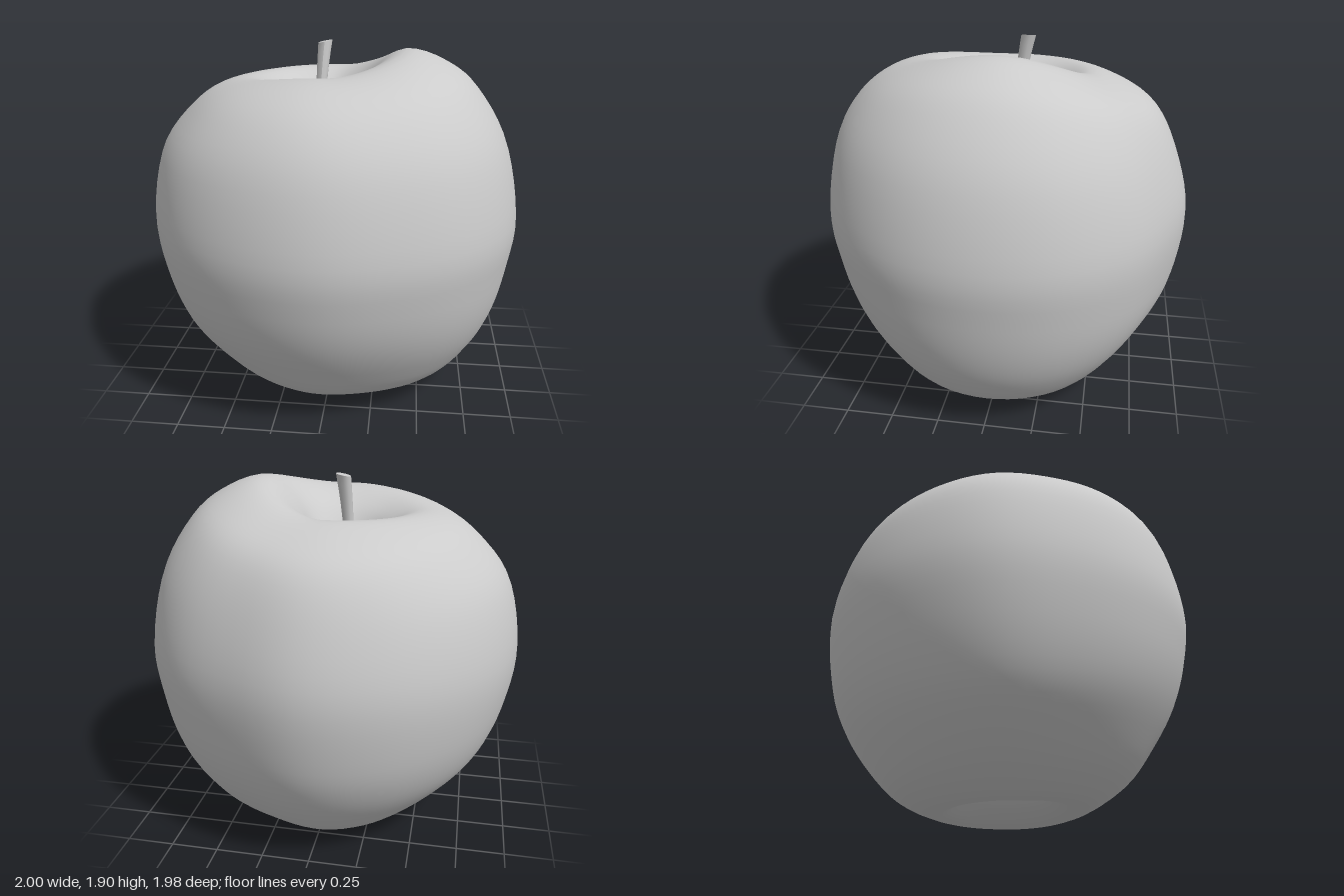
import * as THREE from 'three';
import { mergeVertices } from 'three/addons/utils/BufferGeometryUtils.js';

const COLS = 72, ROWS = 72;

// Half profiles [radius, height] from the stem hollow down to the base hollow
const hollow = [[0, 1.38], [0.06, 1.43], [0.14, 1.56]];
const base = [[0.22, 0.08], [0.1, 0.2], [0, 0.26]];
const sides = [
  // left (+x)
  [[0.25, 1.75], [0.4, 1.865], [0.6, 1.8], [0.76, 1.67], [0.92, 1.4], [1, 1.02],
    [0.975, 0.75], [0.92, 0.5], [0.83, 0.3], [0.68, 0.12], [0.42, 0.01]],
  // front (+z)
  [[0.25, 1.69], [0.42, 1.77], [0.62, 1.73], [0.8, 1.6], [0.93, 1.38], [1, 1.03],
    [0.97, 0.78], [0.9, 0.56], [0.78, 0.35], [0.63, 0.16], [0.4, 0.03]],
  // right (-x)
  [[0.25, 1.65], [0.43, 1.71], [0.61, 1.68], [0.77, 1.57], [0.93, 1.36], [1, 1.02],
    [0.965, 0.72], [0.87, 0.45], [0.73, 0.27], [0.54, 0.11], [0.33, 0.01]],
  // back (-z)
  [[0.25, 1.64], [0.42, 1.72], [0.63, 1.66], [0.8, 1.54], [0.92, 1.3], [0.99, 1.0],
    [0.955, 0.67], [0.88, 0.45], [0.75, 0.25], [0.58, 0.08], [0.37, 0]],
].map((mid) => new THREE.CatmullRomCurve3(
  [...hollow, ...mid, ...base].map(([r, y]) => new THREE.Vector3(r, y, 0)), false, 'catmullrom'));

// Slightly uneven outline seen from above, every 22.5 degrees from +x towards +z
const outline = new THREE.CatmullRomCurve3(
  [1, 0.997, 0.985, 0.973, 0.99, 0.987, 0.987, 0.98, 1, 0.985, 0.98, 0.99, 0.998, 0.965, 0.985, 1]
    .map((f, i) => new THREE.Vector3(f, i, 0)), true, 'catmullrom');

// Blends the neighbouring side profiles for an angle given in turns
function fruitPoint(turn, t) {
  const q = turn * 4, k = Math.floor(q) % 4;
  const w = THREE.MathUtils.smoothstep(q - Math.floor(q), 0, 1);
  const p = sides[k].getPoint(t).lerp(sides[(k + 1) % 4].getPoint(t), w);
  const r = Math.max(0, p.x) * outline.getPoint(turn).x;
  // The stem hollow sits a little off centre
  const shift = p.y > 1 ? 1 - THREE.MathUtils.smoothstep(r, 0, 0.6) : 0;
  const a = turn * Math.PI * 2;
  return [r * Math.cos(a) - 0.08 * shift, p.y, r * Math.sin(a) - 0.06 * shift];
}

function fruitGeometry() {
  const geo = new THREE.SphereGeometry(1, COLS, ROWS);
  const pos = geo.attributes.position;
  for (let i = 0; i < pos.count; i++) {
    const col = i % (COLS + 1), row = Math.floor(i / (COLS + 1));
    pos.setXYZ(i, ...fruitPoint((1.5 - col / COLS) % 1, row / ROWS));
  }
  geo.deleteAttribute('uv');
  geo.deleteAttribute('normal');
  const merged = mergeVertices(geo, 1e-4);
  merged.computeVertexNormals();
  return merged;
}

// Leaning stalk that widens towards its slanted cut end
function stemGeometry() {
  const geo = new THREE.CylinderGeometry(1, 1, 1, 10, 10);
  const pos = geo.attributes.position;
  for (let i = 0; i < pos.count; i++) {
    const t = pos.getY(i) + 0.5;
    const r = 0.025 + 0.014 * t * t;
    const x = pos.getX(i) * r, z = pos.getZ(i) * r;
    pos.setXYZ(i, x - 0.085 + 0.025 * t * t, 1.36 + 0.53 * t + 0.2 * x * t, z - 0.045 - 0.06 * t * t);
  }
  geo.computeVertexNormals();
  return geo;
}

// Dried blossom end: a short waist flaring into five points
function calyxGeometry() {
  const geo = new THREE.CylinderGeometry(1, 1, 1, 20, 6);
  const pos = geo.attributes.position;
  for (let i = 0; i < pos.count; i++) {
    const x = pos.getX(i), z = pos.getZ(i), t = 0.5 - pos.getY(i);
    const star = 1 + 0.3 * t * Math.cos(5 * Math.atan2(z, x));
    const r = (0.032 + 0.028 * t * t) * star;
    pos.setXYZ(i, x * r, 0.28 - 0.16 * t, z * r);
  }
  geo.computeVertexNormals();
  return geo;
}

export function createModel() {
  const group = new THREE.Group();
  group.name = 'apple';
  const material = new THREE.MeshStandardMaterial({ color: 0xcccccc });
  const parts = { fruit: fruitGeometry(), stem: stemGeometry(), calyx: calyxGeometry() };
  for (const [name, geo] of Object.entries(parts)) {
    const mesh = new THREE.Mesh(geo, material);
    mesh.name = name;
    group.add(mesh);
  }
  return group;
}
